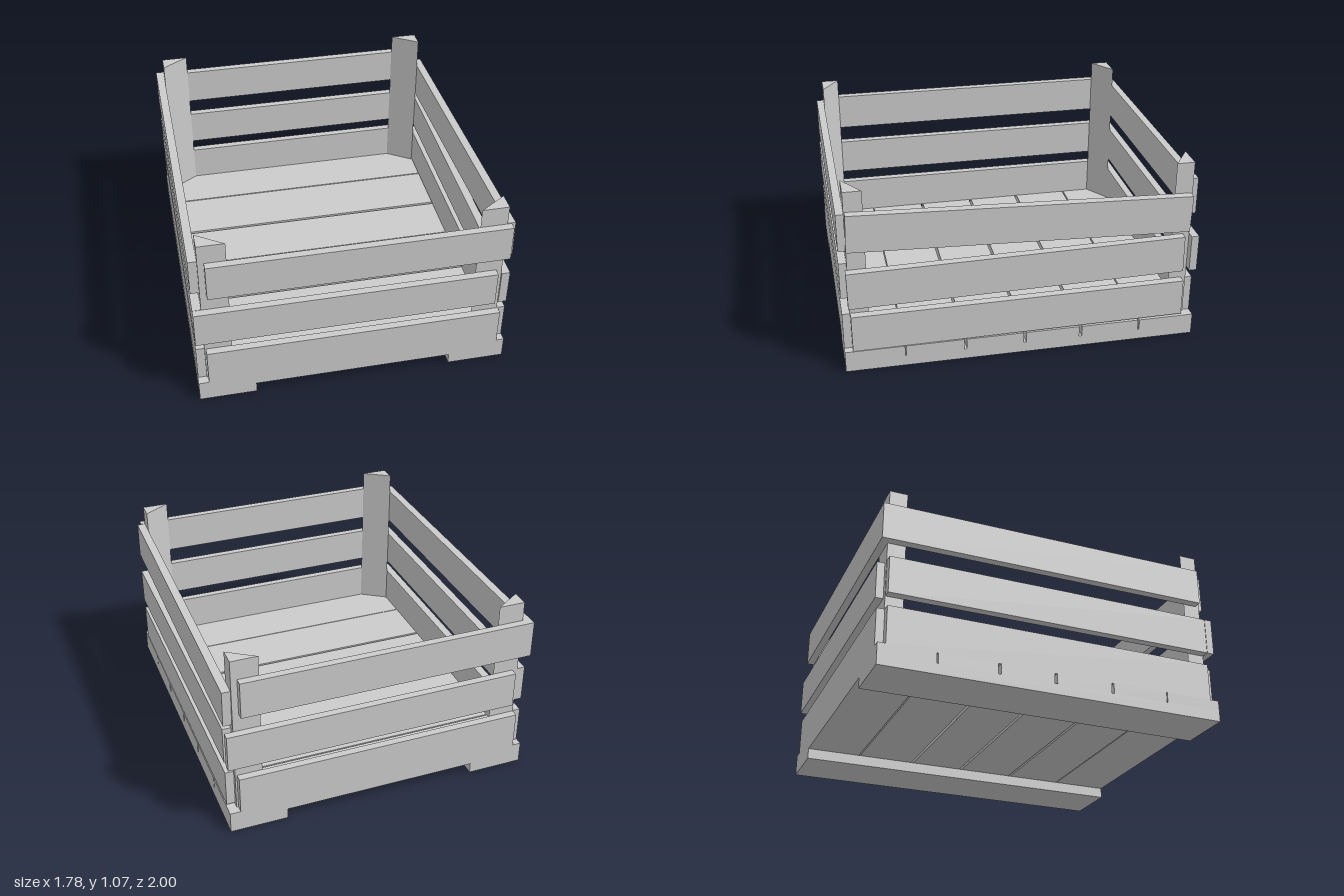
import * as THREE from 'three';

const material = new THREE.MeshStandardMaterial({ color: 0xcccccc, flatShading: true });

// Box given by its extents on each axis
function board(name, [x0, x1], [y0, y1], [z0, z1]) {
  const mesh = new THREE.Mesh(new THREE.BoxGeometry(x1 - x0, y1 - y0, z1 - z0), material);
  mesh.name = name;
  mesh.position.set((x0 + x1) / 2, (y0 + y1) / 2, (z0 + z1) / 2);
  return mesh;
}

// Upright triangular prism filling one inner corner
function cornerPost(sx, sz) {
  const shape = new THREE.Shape([
    new THREE.Vector2(sx * 0.838, -sz * 0.957),
    new THREE.Vector2(sx * 0.685, -sz * 0.957),
    new THREE.Vector2(sx * 0.838, -sz * 0.855),
  ]);
  const geometry = new THREE.ExtrudeGeometry(shape, { depth: 0.95, bevelEnabled: false });
  geometry.rotateX(-Math.PI / 2);
  const mesh = new THREE.Mesh(geometry, material);
  mesh.name = 'cornerPost';
  mesh.position.y = 0.12;
  return mesh;
}

export function createModel() {
  const crate = new THREE.Group();
  crate.name = 'crate';

  // Skids under the floor
  crate.add(board('skid', [-0.888, -0.565], [0, 0.062], [-1, 1]));
  crate.add(board('skid', [0.56, 0.888], [0, 0.062], [-1, 1]));

  // Floor planks with narrow gaps
  const planks = [[-1, -0.682], [-0.674, -0.342], [-0.326, -0.017], [-0.002, 0.323], [0.337, 0.664], [0.669, 1]];
  for (const z of planks) crate.add(board('floorPlank', [-0.888, 0.888], [0.062, 0.125], z));

  // Four corner posts
  for (const sx of [-1, 1]) for (const sz of [-1, 1]) crate.add(cornerPost(sx, sz));

  // Slats by level, bottom to top: each has its own slightly uneven ends
  const levels = [[0.122, 0.343], [0.42, 0.635], [0.74, 0.955]];
  const front = [[-0.83, 0.843], [-0.886, 0.805], [-0.803, 0.862]];
  const back = [[-0.838, 0.828], [-0.805, 0.886], [-0.838, 0.803]];
  const minusX = [[-0.955, 0.95], [-0.955, 0.955], [-1, 0.935]];
  levels.forEach((y, i) => {
    crate.add(board('frontSlat', front[i], y, [0.957, 1]));
    crate.add(board('backSlat', back[i], y, [-1, -0.957]));
    crate.add(board('rightSlat', [-0.886, -0.838], y, minusX[i]));
  });

  // Crooked slats on the other side: z range, centre height, tilt
  const crooked = [
    [[-0.93, 0.955], 0.24, 0.006],
    [[-0.92, 0.967], 0.515, 0.0135],
    [[-0.945, 0.957], 0.8125, -0.0365],
  ];
  for (const [z, y, tilt] of crooked) {
    const slat = board('leftSlat', [0.838, 0.886], [y - 0.108, y + 0.108], z);
    slat.rotation.x = tilt;
    crate.add(slat);
  }
  return crate;
}
